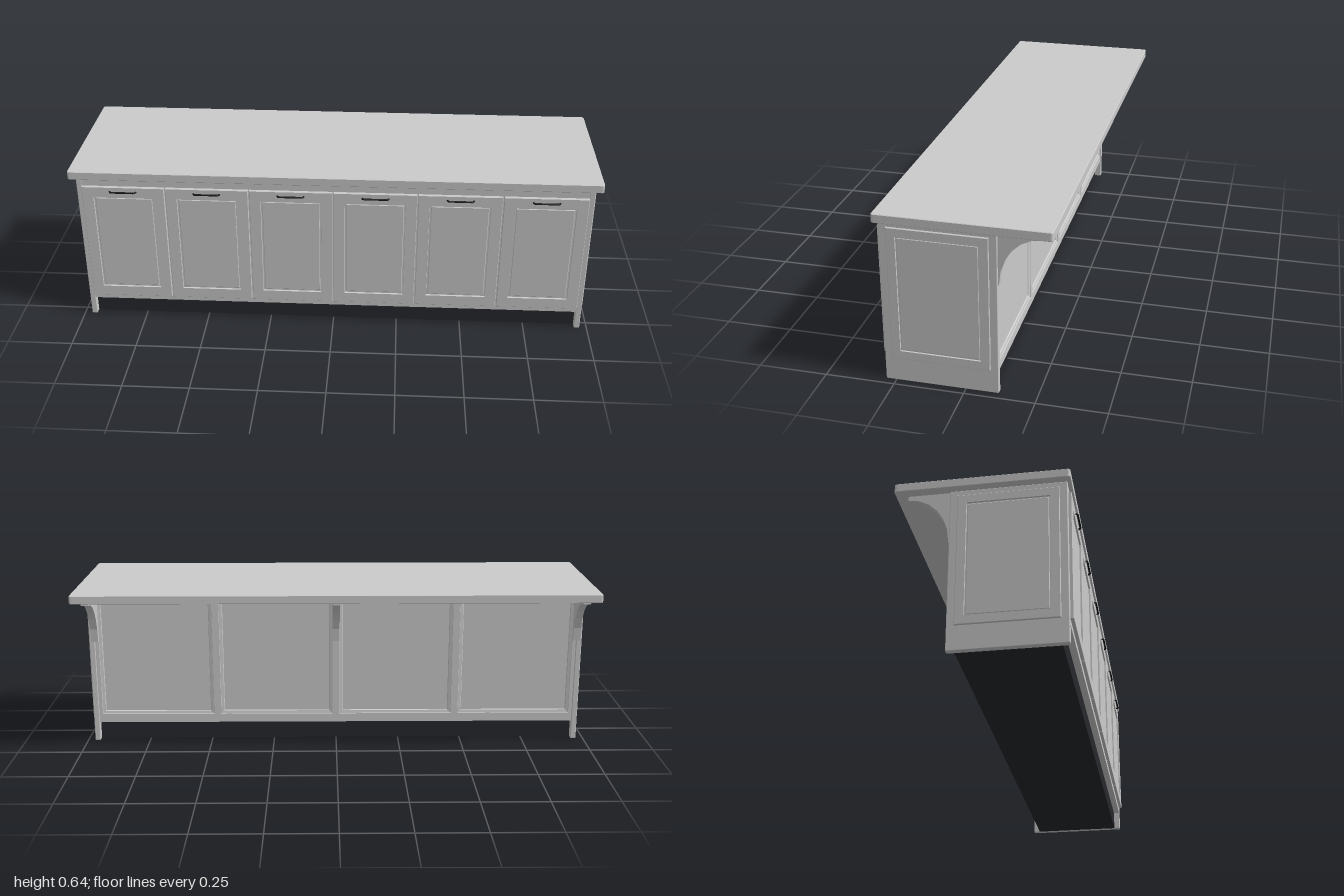
import * as THREE from 'three';
import { RoundedBoxGeometry } from 'three/addons/geometries/RoundedBoxGeometry.js';

const grey = new THREE.MeshStandardMaterial({ color: 0xcccccc });
const dark = new THREE.MeshStandardMaterial({ color: 0x26282c });
const black = new THREE.MeshStandardMaterial({ color: 0x151515 });

function add(parent, name, geometry, material, x = 0, y = 0, z = 0, turn = 0) {
  const mesh = new THREE.Mesh(geometry, material);
  mesh.name = name;
  mesh.position.set(x, y, z);
  mesh.rotation.y = turn;
  parent.add(mesh);
  return mesh;
}

// Box given by its limits on each axis
function block(parent, name, material, [x0, x1], [y0, y1], [z0, z1], radius = 0) {
  const size = [x1 - x0, y1 - y0, z1 - z0];
  const geometry = radius ? new RoundedBoxGeometry(...size, 2, radius) : new THREE.BoxGeometry(...size);
  return add(parent, name, geometry, material, (x0 + x1) / 2, (y0 + y1) / 2, (z0 + z1) / 2);
}

// Moulded panel facing +z: nested rectangles, each ring = [inset from edge, height]
function panelGeometry(w, h, rings) {
  const loops = rings.map(([inset, z]) => {
    const a = w / 2 - inset, b = h / 2 - inset;
    return [[-a, -b, z], [a, -b, z], [a, b, z], [-a, b, z]];
  });
  const pos = [];
  const quad = (a, b, c, d) => pos.push(...a, ...b, ...c, ...a, ...c, ...d);
  for (let i = 0; i + 1 < loops.length; i++) {
    for (let k = 0; k < 4; k++) {
      const n = (k + 1) % 4;
      quad(loops[i][k], loops[i][n], loops[i + 1][n], loops[i + 1][k]);
    }
  }
  quad(...loops[loops.length - 1]);
  const geometry = new THREE.BufferGeometry();
  geometry.setAttribute('position', new THREE.Float32BufferAttribute(pos, 3));
  geometry.computeVertexNormals();
  return geometry;
}

// Slab with rounded corners in plan and a fine edge bevel
function worktopGeometry(w, d, h) {
  const bevel = 0.002, r = 0.008, a = w / 2 - bevel, b = d / 2 - bevel;
  const s = new THREE.Shape();
  s.moveTo(-a + r, -b);
  s.lineTo(a - r, -b).quadraticCurveTo(a, -b, a, -b + r);
  s.lineTo(a, b - r).quadraticCurveTo(a, b, a - r, b);
  s.lineTo(-a + r, b).quadraticCurveTo(-a, b, -a, b - r);
  s.lineTo(-a, -b + r).quadraticCurveTo(-a, -b, -a + r, -b);
  const g = new THREE.ExtrudeGeometry(s, {
    depth: h - 2 * bevel, bevelSize: bevel, bevelThickness: bevel, bevelSegments: 1, curveSegments: 4,
  });
  return g.rotateX(-Math.PI / 2).translate(0, bevel, 0);
}

// Concave corbel, its profile running backwards from the cabinet
function bracketGeometry(width) {
  const profile = [
    [0.1, 0.611], [0.1, 0.413], [0.12, 0.413], [0.126, 0.465], [0.141, 0.508],
    [0.163, 0.543], [0.193, 0.571], [0.228, 0.588], [0.265, 0.594], [0.265, 0.611],
  ].map(([x, y]) => new THREE.Vector2(x, y));
  const g = new THREE.ExtrudeGeometry(new THREE.Shape(profile), { depth: width, bevelEnabled: false });
  return g.translate(0, 0, -width / 2).rotateY(Math.PI / 2);
}

export function createModel() {
  const model = new THREE.Group();
  model.name = 'kitchenIsland';

  // Worktop, overhanging at the back
  add(model, 'worktop', worktopGeometry(2, 0.608, 0.032), grey, 0, 0.61, -0.004);

  // Carcass and recessed plinth
  block(model, 'carcass', grey, [-0.952, 0.952], [0.075, 0.61], [-0.1, 0.286]);
  block(model, 'plinth', dark, [-0.951, 0.951], [0.001, 0.075], [-0.09, 0.262]);

  // End panels with applied moulded faces
  const endFace = panelGeometry(0.35, 0.498, [
    [0, 0], [0, 0.005], [0.002, 0.007], [0.032, 0.007], [0.033, 0.002], [0.036, 0.002], [0.038, 0.0035],
  ]);
  for (const s of [-1, 1]) {
    const end = block(model, 'endPanel', grey, [0.95, 0.972], [0, 0.61], [-0.117, 0.287], 0.003);
    end.position.x *= s;
    add(model, 'endPanelFace', endFace, grey, s * 0.9715, 0.339, 0.085, s * Math.PI / 2);
  }

  // Six front doors with bar handles
  const pitch = 0.3178;
  const door = panelGeometry(pitch - 0.005, 0.483, [
    [0, 0], [0, 0.0105], [0.0015, 0.012], [0.042, 0.012], [0.043, 0.005], [0.048, 0.005], [0.05, 0.007],
  ]);
  const handlePath = new THREE.CatmullRomCurve3([
    [-0.05, -0.002], [-0.045, 0.007], [-0.03, 0.0075], [0.03, 0.0075], [0.045, 0.007], [0.05, -0.002],
  ].map(([x, z]) => new THREE.Vector3(x, 0, z)));
  const handle = new THREE.TubeGeometry(handlePath, 24, 0.0035, 8);
  for (let i = 0; i < 6; i++) {
    const x = (i - 2.5) * pitch;
    add(model, 'door', door, grey, x, 0.3385, 0.286);
    add(model, 'handle', handle, black, x, 0.562, 0.298);
  }

  // Four moulded bays and a bottom rail on the back
  const bay = panelGeometry(0.475, 0.515, [
    [0, 0], [0, 0.012], [0.014, 0.012], [0.015, 0.009], [0.026, 0.007], [0.028, 0.003],
  ]);
  for (let i = 0; i < 4; i++) {
    add(model, 'backPanel', bay, grey, (i - 1.5) * 0.475, 0.3525, -0.1, Math.PI);
  }
  block(model, 'backRail', grey, [-0.95, 0.95], [0.075, 0.095], [-0.112, -0.099]);

  // Brackets under the overhang
  const bracket = bracketGeometry(0.028);
  for (const x of [-0.95, 0, 0.95]) add(model, 'bracket', bracket, grey, x);

  return model;
}
